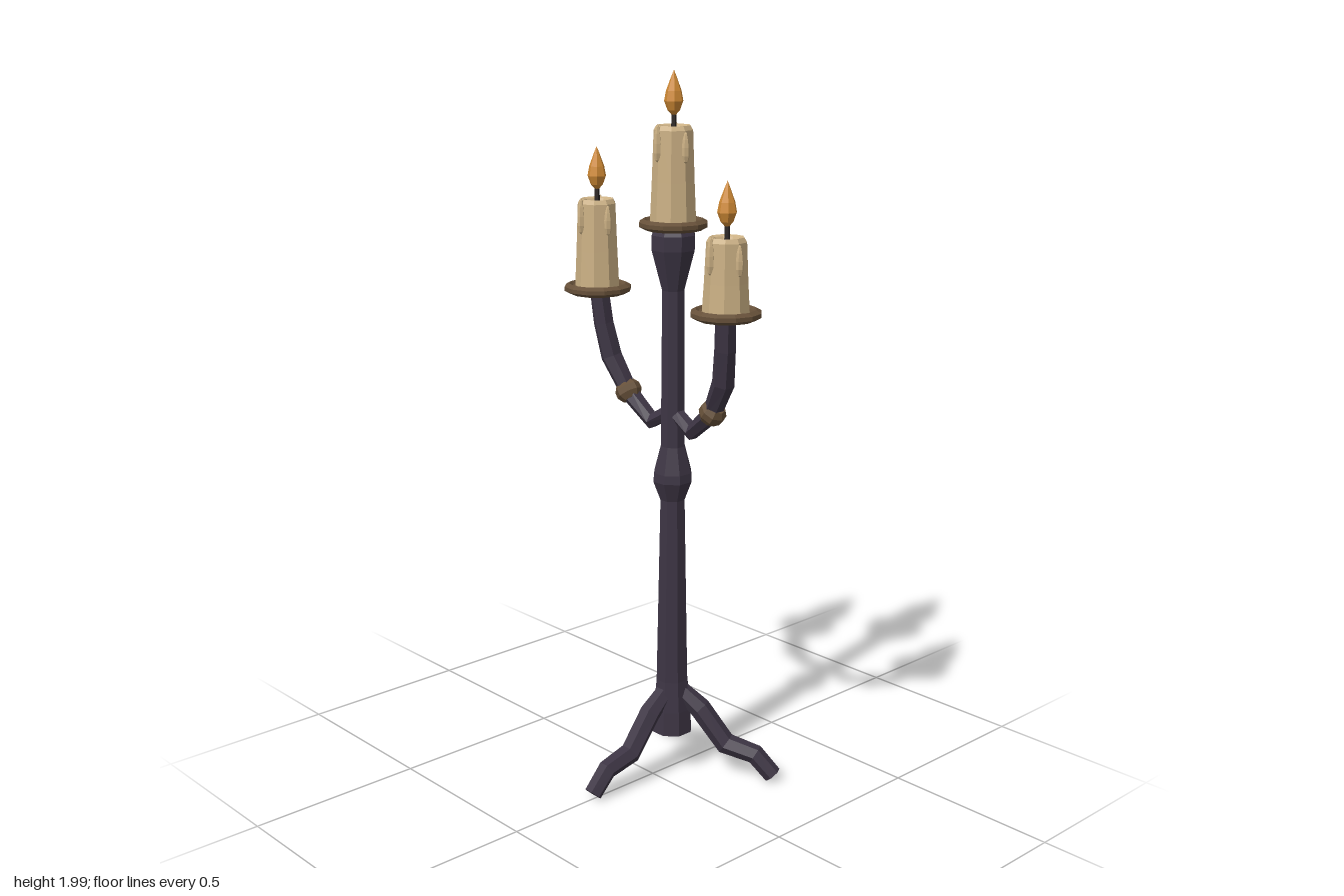
import * as THREE from 'three';

const iron = new THREE.MeshStandardMaterial({ color: 0x3d3544 });
const bronze = new THREE.MeshStandardMaterial({ color: 0x665039 });
const wax = new THREE.MeshStandardMaterial({ color: 0xcbb084 });
const flameOrange = new THREE.MeshStandardMaterial({ color: 0xd08a35 });
const wickBlack = new THREE.MeshStandardMaterial({ color: 0x2a2422 });
iron.name = 'dark iron';
bronze.name = 'bronze';
wax.name = 'wax';
flameOrange.name = 'flame orange';
wickBlack.name = 'wick black';

// Faceted mesh with one normal per face
function facet(name, geometry, material) {
  const g = geometry.index ? geometry.toNonIndexed() : geometry;
  g.computeVertexNormals();
  const mesh = new THREE.Mesh(g, material);
  mesh.name = name;
  return mesh;
}

function lathe(name, profile, sides, material, phase = 0) {
  const points = profile.map(([r, y]) => new THREE.Vector2(r, y));
  return facet(name, new THREE.LatheGeometry(points, sides, phase), material);
}

// Capped bar along a bent path; each station is [x, y, z, radius]
function bar(name, stations, side, sides, material) {
  const pts = stations.map(([x, y, z]) => new THREE.Vector3(x, y, z));
  const n = pts.length;
  const pos = [], index = [];
  pts.forEach((p, i) => {
    const before = p.clone().sub(pts[Math.max(i - 1, 0)]).normalize();
    const after = pts[Math.min(i + 1, n - 1)].clone().sub(p).normalize();
    const t = before.add(after).normalize();
    const s = side.clone().addScaledVector(t, -side.dot(t)).normalize();
    const u = t.clone().cross(s);
    for (let j = 0; j < sides; j++) {
      const a = (j / sides) * Math.PI * 2, r = stations[i][3];
      const v = p.clone().addScaledVector(s, Math.cos(a) * r).addScaledVector(u, Math.sin(a) * r);
      pos.push(v.x, v.y, v.z);
    }
  });
  pos.push(...pts[0].toArray(), ...pts[n - 1].toArray());
  const first = n * sides, last = first + 1;
  for (let j = 0; j < sides; j++) {
    const k = (j + 1) % sides, e = (n - 1) * sides;
    for (let i = 0; i < n - 1; i++) {
      const a = i * sides + j, b = i * sides + k;
      index.push(a, b, b + sides, a, b + sides, a + sides);
    }
    index.push(first, k, j, last, e + j, e + k);
  }
  const g = new THREE.BufferGeometry();
  g.setAttribute('position', new THREE.Float32BufferAttribute(pos, 3));
  g.setIndex(index);
  return facet(name, g, material);
}

// Dish, candle, drips, wick and flame; origin at the dish underside
function candle(name, height) {
  const group = new THREE.Group();
  group.name = name;
  const top = 0.02 + height;
  group.add(lathe('dish', [[0, 0], [0.076, 0], [0.094, 0.01], [0.094, 0.021],
    [0.08, 0.029], [0.072, 0.022], [0, 0.022]], 12, bronze));
  group.add(lathe('candleBody', [[0, 0.018], [0.063, 0.018], [0.058, height * 0.5],
    [0.053, top - 0.012], [0.046, top], [0.037, top - 0.004], [0.03, top - 0.014],
    [0, top - 0.016]], 9, wax));

  // Drips: x, z, half length, distance of the middle below the rim
  for (const [x, z, half, drop] of [[-0.004, 0.054, 0.05, 0.045],
    [0.054, 0.008, 0.042, 0.055], [-0.036, -0.044, 0.056, 0.052]]) {
    const g = new THREE.SphereGeometry(1, 6, 6);
    g.scale(0.011, half, 0.011);
    // Make the lower end heavier
    const p = g.attributes.position;
    for (let i = 0; i < p.count; i++) {
      const f = 1 - 0.3 * (p.getY(i) / half);
      p.setX(i, p.getX(i) * f);
      p.setZ(i, p.getZ(i) * f);
    }
    const drip = facet('drip', g, wax);
    drip.position.set(x, top - drop, z);
    group.add(drip);
  }

  const wick = facet('wick', new THREE.CylinderGeometry(0.007, 0.008, 0.06, 5), wickBlack);
  wick.position.y = top + 0.012;
  group.add(wick);
  const flame = lathe('flame', [[0, 0], [0.017, 0.018], [0.026, 0.042], [0.021, 0.068],
    [0.009, 0.1], [0, 0.122]], 7, flameOrange);
  flame.position.y = top + 0.02;
  group.add(flame);
  return group;
}

export function createModel() {
  const model = new THREE.Group();
  model.name = 'candelabra';
  const centreZ = -0.075;

  // Central column with knob and flared top
  const column = lathe('column', [[0, 0.13], [0.06, 0.13], [0.056, 0.2], [0.047, 0.29],
    [0.036, 0.83], [0.057, 0.885], [0.055, 0.91], [0.035, 0.985], [0.032, 1.42],
    [0.062, 1.53], [0.062, 1.57], [0.05, 1.592], [0, 1.592]], 8, iron, Math.PI / 8);
  column.position.z = centreZ;
  model.add(column);

  // Three bent legs
  for (let i = 0; i < 3; i++) {
    const leg = bar('leg', [[0, 0.255, 0.025, 0.026], [0, 0.205, 0.085, 0.031],
      [0, 0.105, 0.162, 0.031], [0, 0.083, 0.25, 0.028], [0, 0.026, 0.303, 0.026]],
      new THREE.Vector3(1, 0, 0), 6, iron);
    leg.rotation.y = (i / 3) * Math.PI * 2;
    leg.position.z = centreZ;
    model.add(leg);
  }

  // Curved arms with collars
  for (const s of [-1, 1]) {
    const path = [[0, 1.085, -0.075, 0.022], [0.08, 1.04, -0.072, 0.024],
      [0.165, 1.108, -0.062, 0.026], [0.222, 1.205, -0.047, 0.031],
      [0.24, 1.3, -0.034, 0.029], [0.248, 1.387, -0.027, 0.028]];
    model.add(bar(s > 0 ? 'leftArm' : 'rightArm', path.map(([x, y, z, r]) => [x * s, y, z, r]),
      new THREE.Vector3(0, 0, 1), 6, iron));
    const collar = lathe('armCollar', [[0, -0.026], [0.026, -0.026], [0.037, -0.009],
      [0.037, 0.009], [0.026, 0.026], [0, 0.026]], 8, bronze);
    collar.position.set(0.168 * s, 1.112, -0.062);
    collar.rotation.z = -0.65 * s;
    model.add(collar);
  }

  // Candles of three heights
  for (const [name, x, y, z, h] of [['centreCandle', 0, 1.583, centreZ, 0.255],
    ['rightCandle', -0.253, 1.383, -0.025, 0.243], ['leftCandle', 0.251, 1.383, -0.025, 0.194]]) {
    const c = candle(name, h);
    c.position.set(x, y, z);
    model.add(c);
  }
  return model;
}
